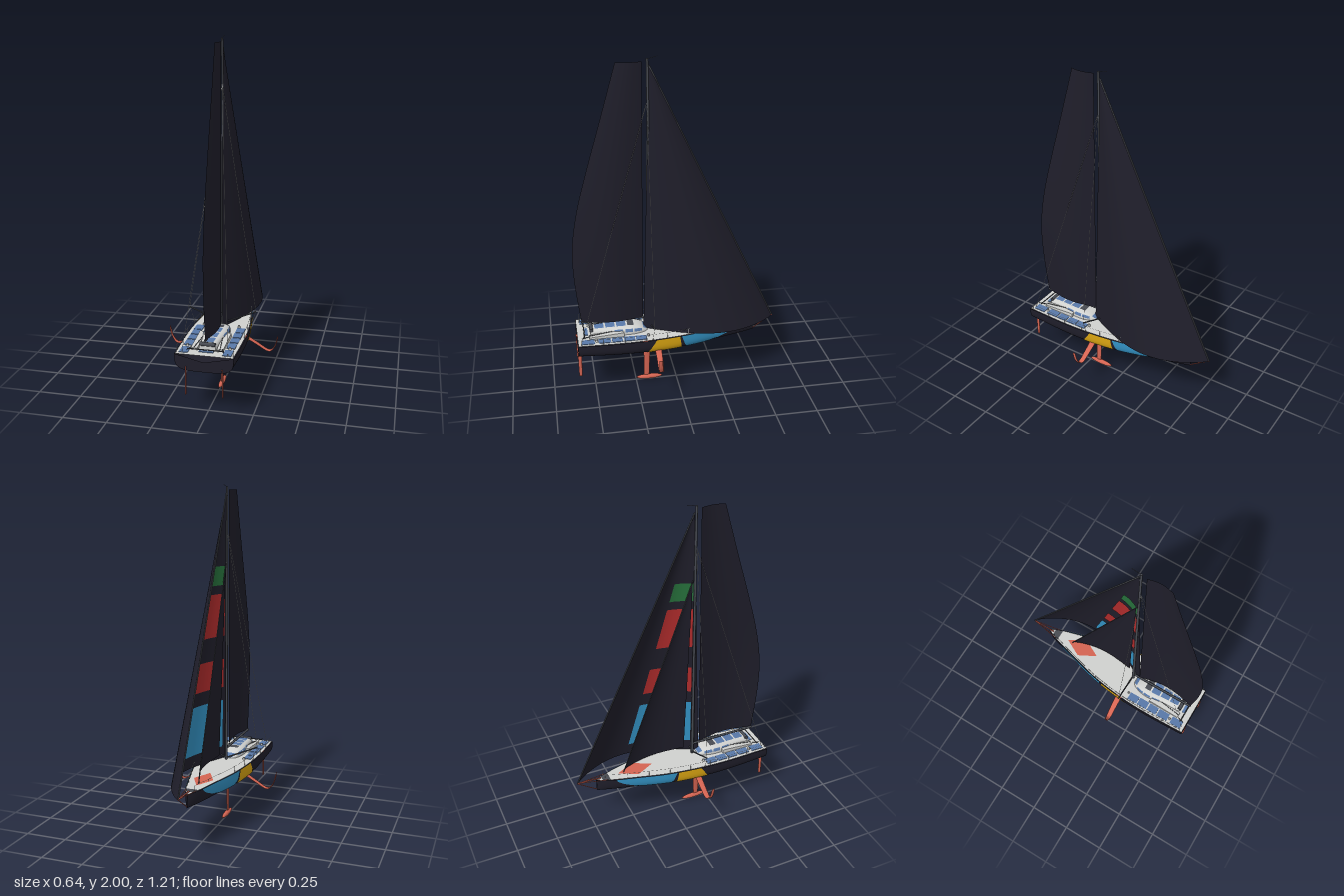
import * as THREE from 'three';

const mat = (name, color) => new THREE.MeshStandardMaterial({ name, color, side: THREE.DoubleSide });
const V = (x, y, z) => new THREE.Vector3(x, y, z);
const { lerp } = THREE.MathUtils;
const DECK = 0.367;

// piecewise-smooth value from [z, value] pairs
function profile(pairs) {
  const c = new THREE.SplineCurve(pairs.map(p => new THREE.Vector2(p[0], p[1])));
  const pts = c.getPoints(120);
  return z => {
    for (let i = 1; i < pts.length; i++) {
      if (z <= pts[i].x) {
        const k = (z - pts[i - 1].x) / (pts[i].x - pts[i - 1].x || 1);
        return lerp(pts[i - 1].y, pts[i].y, Math.max(0, k));
      }
    }
    return pts[pts.length - 1].y;
  };
}
const beam = profile([[-0.48, 0.004], [-0.46, 0.016], [-0.4, 0.04], [-0.24, 0.084], [-0.06, 0.13], [0.14, 0.158], [0.33, 0.167], [0.6, 0.161]]);
const bottom = profile([[-0.48, 0.288], [-0.3, 0.272], [0.1, 0.261], [0.35, 0.263], [0.6, 0.274]]);

// hull skin: a runs from the deck edge (0) to the keel line (1)
function hullPoint(z, a, side, grow = 0) {
  const f = a * Math.PI / 2, yb = bottom(z) - grow;
  const p = lerp(0.75, 0.5, Math.min(1, (z + 0.48) / 0.5));
  return V(side * (beam(z) + grow) * Math.pow(Math.max(0, Math.cos(f)), p), 0.366 - (0.366 - yb) * Math.pow(Math.sin(f), p), z);
}

export function createModel() {
  const root = new THREE.Group();
  root.name = 'racingYacht';
  const navy = mat('navy', 0x1f1e2a), deckGrey = mat('deckGrey', 0xd0d1cf), coral = mat('coral', 0xd46452);
  const yellow = mat('yellow', 0xdba612), blue = mat('blue', 0x3392c4), solar = mat('solarBlue', 0x5878a8);
  const dark = mat('darkGrey', 0x484b52), red = mat('red', 0xb02c2c), green = mat('green', 0x27713c);

  const add = (name, geo, m) => {
    const mesh = new THREE.Mesh(geo, m);
    mesh.name = name;
    root.add(mesh);
    return mesh;
  };
  // surface from a rule fn(u, v) -> point
  const surf = (name, fn, nu, nv, m) => {
    const pos = [], idx = [];
    for (let j = 0; j <= nv; j++) for (let i = 0; i <= nu; i++) pos.push(...fn(i / nu, j / nv).toArray());
    for (let j = 0; j < nv; j++) for (let i = 0; i < nu; i++) {
      const a = j * (nu + 1) + i, b = a + nu + 1;
      idx.push(a, a + 1, b, a + 1, b + 1, b);
    }
    const g = new THREE.BufferGeometry();
    g.setAttribute('position', new THREE.Float32BufferAttribute(pos, 3));
    g.setIndex(idx);
    g.computeVertexNormals();
    return add(name, g, m);
  };
  const rod = (name, a, b, r, m, n = 6) => {
    const g = new THREE.CylinderGeometry(r, r, a.distanceTo(b), n);
    const mesh = add(name, g, m);
    mesh.position.copy(a).lerp(b, 0.5);
    mesh.quaternion.setFromUnitVectors(V(0, 1, 0), b.clone().sub(a).normalize());
    return mesh;
  };
  const box = (name, w, h, d, x, y, z, m) => add(name, new THREE.BoxGeometry(w, h, d), m).position.set(x, y, z);
  // lens-section blade along a path, chord running in z
  const blade = (name, pts, c0, c1, thick, m) => {
    const curve = new THREE.CatmullRomCurve3(pts);
    surf(name, (u, v) => {
      const p = curve.getPoint(v), t = curve.getTangent(v), c = lerp(c0, c1, v) / 2, q = u * Math.PI * 2;
      const k = v === 1 ? 0 : Math.sin(q) * thick / 2;
      return p.add(V(t.y * k, -t.x * k, Math.cos(q) * c));
    }, 14, 16, m);
  };

  // hull, transom and deck
  const ease = t => t * t * (3 - 2 * t);
  surf('hull', (u, v) => {
    const s = u < 0.5 ? -1 : 1;
    return hullPoint(lerp(-0.48, 0.6, v), ease(1 - Math.abs(2 * u - 1)), s);
  }, 40, 48, navy);
  surf('transom', (u, v) => hullPoint(0.6, ease(1 - Math.abs(2 * u - 1)), u < 0.5 ? -1 : 1).lerp(V(0, 0.33, 0.6), v), 40, 1, navy);
  surf('deck', (u, v) => {
    const z = lerp(-0.479, 0.599, v);
    return V((2 * u - 1) * Math.max(0.001, beam(z) - 0.003), DECK, z);
  }, 2, 48, deckGrey);
  surf('bowPanel', (u, v) => {
    const z = lerp(-0.445, -0.4, v);
    return V((2 * u - 1) * (beam(z) - 0.004), DECK + 0.002, z);
  }, 1, 4, dark);
  const diamond = new THREE.Shape([[0, 0.34], [-0.058, 0.23], [0, 0.12], [0.058, 0.23]].map(p => new THREE.Vector2(...p)));
  add('foredeckDiamond', new THREE.ShapeGeometry(diamond).rotateX(-Math.PI / 2).translate(0, DECK + 0.002, 0), coral);

  // painted hull panels, a mirrored pair of each
  for (const s of [-1, 1]) {
    const panel = (name, zFront, zBack, m) => surf(name, (u, v) => {
      const a = 0.56 * v * v;
      return hullPoint(lerp(zFront(v), zBack(v), u), a, s, 0.0025);
    }, 20, 12, m);
    panel('yellowPanel', v => lerp(0.0, -0.015, v), v => lerp(0.14, 0.205, v), yellow);
    panel('bluePanel', v => -0.37 + 0.22 * Math.pow(v, 2.5), v => lerp(-0.01, -0.045, v), blue);
  }

  // keel with bulb, rudders and side foils
  blade('keelFin', [V(0, 0.27, 0.182), V(0, 0.14, 0.182), V(0, 0.012, 0.185)], 0.042, 0.032, 0.008, coral);
  const bulb = add('keelBulb', new THREE.SphereGeometry(1, 20, 14), coral);
  bulb.scale.set(0.015, 0.015, 0.08);
  bulb.position.set(0, 0.015, 0.168);
  for (const s of [-1, 1]) {
    blade('rudder', [V(s * 0.1, 0.3, 0.592), V(s * 0.101, 0.2, 0.592), V(s * 0.102, 0.13, 0.592)], 0.024, 0.018, 0.006, coral);
    blade('foil', [V(s * 0.13, 0.297, 0.13), V(s * 0.2, 0.257, 0.13), V(s * 0.265, 0.222, 0.132), V(s * 0.285, 0.228, 0.134), V(s * 0.308, 0.265, 0.138), V(s * 0.321, 0.325, 0.142)], 0.04, 0.018, 0.006, coral);
  }

  // coachroof with wrap-round windows
  const roofHalf = profile([[0.18, 0.03], [0.195, 0.046], [0.25, 0.066], [0.32, 0.07], [0.42, 0.056], [0.52, 0.046]]);
  const roofTop = profile([[0.18, 0.37], [0.2, 0.389], [0.24, 0.406], [0.32, 0.411], [0.52, 0.4]]);
  const roofPoint = (z, q, g = 0) => {
    const c = Math.cos(q), y0 = 0.364;
    return V(Math.sign(c) * Math.pow(Math.abs(c), 0.6) * (roofHalf(z) + g), y0 + (roofTop(z) + g - y0) * Math.pow(Math.abs(Math.sin(q)), 0.6), z);
  };
  surf('coachroof', (u, v) => roofPoint(lerp(0.18, 0.52, v), u * Math.PI), 24, 24, deckGrey);
  surf('coachroofAftWall', (u, v) => roofPoint(0.52, u * Math.PI).lerp(V(0, 0.366, 0.52), v), 24, 1, deckGrey);
  surf('coachroofFrontWall', (u, v) => roofPoint(0.18, u * Math.PI).lerp(V(0, 0.364, 0.18), v), 24, 1, solar);
  const band = (name, z0, z1, q0, q1, m) =>
    surf(name, (u, v) => roofPoint(lerp(z0, z1, v), lerp(q0, q1, u), 0.0015), 8, 6, m);
  for (const [z0, z1] of [[0.215, 0.262], [0.27, 0.315], [0.33, 0.38]]) {
    band('sideWindow', z0, z1, 0.22, 0.66, solar);
    band('sideWindow', z0, z1, Math.PI - 0.66, Math.PI - 0.22, solar);
  }
  band('frontWindow', 0.183, 0.205, 0.9, Math.PI - 0.9, solar);
  band('roofHatch', 0.262, 0.3, 1.25, Math.PI - 1.25, dark);
  for (const z of [0.31, 0.375, 0.44]) band('roofSolarPanel', z, z + 0.055, 1.22, Math.PI - 1.22, solar);

  // cockpit coamings, winch drum, traveller and stern fittings
  for (const s of [-1, 1]) {
    const c = new THREE.Shape([[0.325, DECK], [0.53, DECK], [0.53, 0.378], [0.34, 0.392], [0.325, 0.39]].map(p => new THREE.Vector2(-p[0], p[1])));
    const g = new THREE.ExtrudeGeometry(c, { depth: 0.036, bevelEnabled: false }).rotateY(Math.PI / 2);
    add('coaming', g, deckGrey).position.x = s * 0.071 - 0.018;
    rod('coamingRail', V(s * 0.047, 0.394, 0.33), V(s * 0.072, 0.381, 0.53), 0.002, dark);
    rod('travellerArm', V(s * 0.085, 0.384, 0.53), V(s * 0.1, 0.384, 0.575), 0.002, dark);
    for (const [x, z] of [[0.102, 0.183], [0.118, 0.491]]) {
      add('winch', new THREE.CylinderGeometry(0.006, 0.008, 0.014, 12), deckGrey).position.set(s * x, DECK + 0.007, z);
    }
    for (const [z0, z1] of [[0.195, 0.26], [0.265, 0.33], [0.338, 0.4], [0.408, 0.48], [0.503, 0.577]]) {
      box('deckSolarPanel', 0.048, 0.003, z1 - z0, s * 0.119, DECK + 0.0015, (z0 + z1) / 2, solar);
    }
  }
  rod('winchDrum', V(-0.043, 0.398, 0.515), V(0.043, 0.398, 0.515), 0.011, dark, 12);
  box('sternHatch', 0.08, 0.003, 0.018, 0, DECK + 0.0015, 0.545, solar);
  rod('traveller', V(-0.1, 0.384, 0.558), V(0.1, 0.384, 0.558), 0.003, dark);

  // mast, boom and deck spreaders
  add('mast', new THREE.CylinderGeometry(0.006, 0.0085, 1.62, 12).scale(0.9, 1, 1.1), dark).position.set(0, 1.177, 0.155);
  rod('mastheadWand', V(0, 1.985, 0.155), V(0, 1.999, 0.1), 0.0012, dark);
  rod('boom', V(0, 0.438, 0.16), V(0, 0.438, 0.57), 0.007, dark, 10);
  const masthead = V(0, 1.75, 0.16);
  for (const s of [-1, 1]) {
    const tip = V(s * 0.195, 0.462, 0.158);
    rod('spreader', V(0, 0.378, 0.152), tip, 0.0042, dark, 8);
    rod('shroud', tip, masthead, 0.0011, deckGrey, 4);
    rod('lowerShroud', tip, V(s * 0.16, DECK, 0.165), 0.0011, deckGrey, 4);
    rod('backstay', V(s * 0.125, DECK, 0.58), masthead, 0.0011, deckGrey, 4);
    // guard rail
    const rail = [];
    for (let i = 0; i <= 8; i++) {
      const z = lerp(-0.43, 0.58, i / 8), x = s * (beam(z) - 0.006);
      rod('stanchion', V(x, DECK, z), V(x, 0.402, z), 0.0013, deckGrey, 4);
      rail.push(V(x, 0.402, z));
    }
    add('guardRail', new THREE.TubeGeometry(new THREE.CatmullRomCurve3(rail), 32, 0.0009, 4), deckGrey);
    rod('bowspritBrace', V(s * 0.03, 0.37, -0.42), V(0, 0.379, -0.597), 0.002, coral);
  }
  rod('bowsprit', V(0, 0.374, -0.45), V(0, 0.38, -0.6), 0.004, coral, 8);
  rod('bobstay', V(0, 0.295, -0.478), V(0, 0.378, -0.598), 0.0028, coral);
  rod('forestay', V(0, 0.38, -0.597), V(0, 1.95, 0.145), 0.0045, dark, 8);

  // headsails bellied to one side
  const headsail = (tack, head, clew, depth) => (u, v) => {
    const luff = tack.clone().lerp(head, v), leech = clew.clone().lerp(head, v);
    const p = luff.lerp(leech, u);
    p.x += depth * (1 - v) * Math.sin(Math.PI * Math.pow(u, 0.85));
    return p;
  };
  const jib = headsail(V(0, 0.375, -0.598), V(0, 1.955, 0.146), V(0.008, 0.37, 0.2), 0.15);
  surf('headsail', jib, 28, 30, navy);
  const stay = headsail(V(0, 0.385, -0.3), V(0, 1.55, 0.14), V(0.03, 0.4, 0.11), 0.035);
  surf('staysail', stay, 16, 20, navy);
  rod('innerForestay', V(0, DECK, -0.305), V(0, 1.56, 0.142), 0.003, dark);

  // coloured panels on the hollow face of the headsail
  for (const [y0, y1, m] of [[0.45, 0.74, blue], [0.82, 0.99, red], [1.13, 1.38, red], [1.43, 1.54, green]]) {
    surf('sailPanel', (u, v) => {
      const p = jib(lerp(0.46, 0.94, u), (lerp(y0, y1, v) - 0.375) / 1.58);
      p.x -= 0.004;
      return p;
    }, 14, 6, m);
  }

  // mainsail with a square head and rounded leech
  const leechZ = profile([[0.44, 0.568], [0.7, 0.597], [0.92, 0.6], [1.15, 0.563], [1.4, 0.495], [1.65, 0.42], [1.975, 0.325]]);
  surf('mainsail', (u, v) => {
    const y = lerp(0.44, 1.972, v), z0 = lerp(0.2, 0.185, v), chord = leechZ(y) - z0;
    return V(0.09 * chord * Math.sin(Math.PI * u), y, z0 + chord * u);
  }, 18, 32, navy);
  return root;
}
